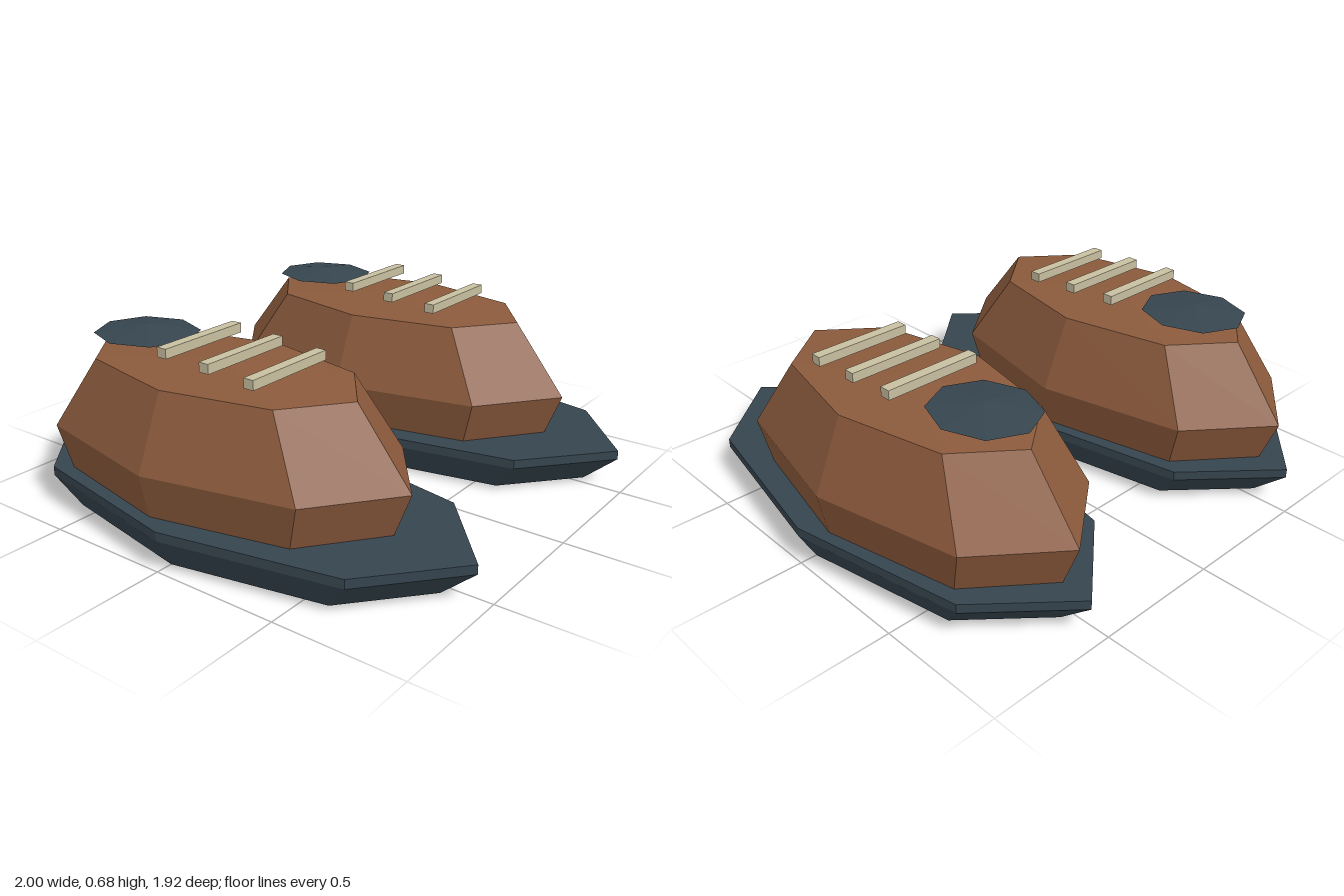
import * as THREE from 'three';

const brownLeather = new THREE.MeshStandardMaterial({ color: 0x8b5a3c });
const slateRubber = new THREE.MeshStandardMaterial({ color: 0x36454f });
const creamLace = new THREE.MeshStandardMaterial({ color: 0xc8bfa0 });

// Eight-sided faceted solid from [radius, y] rings, stretched along z
function facetedShell(rings, stretchZ) {
  const points = rings.map(([r, y]) => new THREE.Vector2(r, y));
  const geometry = new THREE.LatheGeometry(points, 8).scale(1, 1, stretchZ).toNonIndexed();
  geometry.computeVertexNormals();
  return geometry;
}

function addPart(parent, name, geometry, material, y = 0, z = 0) {
  const mesh = new THREE.Mesh(geometry, material);
  mesh.name = name;
  mesh.position.set(0, y, z);
  parent.add(mesh);
}

function createShoe(name) {
  const shoe = new THREE.Group();
  shoe.name = name;

  // Wide sole: undercut side, thin vertical rim, flat top
  const sole = [[0, 0], [0.392, 0], [0.455, 0.115], [0.455, 0.15], [0, 0.15]];
  addPart(shoe, 'sole', facetedShell(sole, 2.11), slateRubber);

  // Bulging upper, set slightly towards the heel
  const upper = [[0, 0.13], [0.386, 0.13], [0.425, 0.315], [0.31, 0.585], [0, 0.622]];
  addPart(shoe, 'upper', facetedShell(upper, 1.895), brownLeather, 0, -0.095);

  // Ankle opening: shallow double cone
  const opening = [[0, -0.028], [0.185, 0], [0, 0.028]];
  addPart(shoe, 'ankleOpening', facetedShell(opening, 1.12), slateRubber, 0.641, -0.468);

  // Three lace bars rising towards the ankle
  for (let i = 0; i < 3; i++) {
    const lace = new THREE.BoxGeometry(0.385, 0.036, 0.042);
    addPart(shoe, 'lace' + (i + 1), lace, creamLace, 0.636 + i * 0.013, 0.197 - i * 0.197);
  }
  return shoe;
}

export function createModel() {
  const model = new THREE.Group();
  model.name = 'pairOfShoes';
  for (const [name, side] of [['leftShoe', 1], ['rightShoe', -1]]) {
    const shoe = createShoe(name);
    shoe.position.x = side * 0.543;
    model.add(shoe);
  }
  return model;
}
